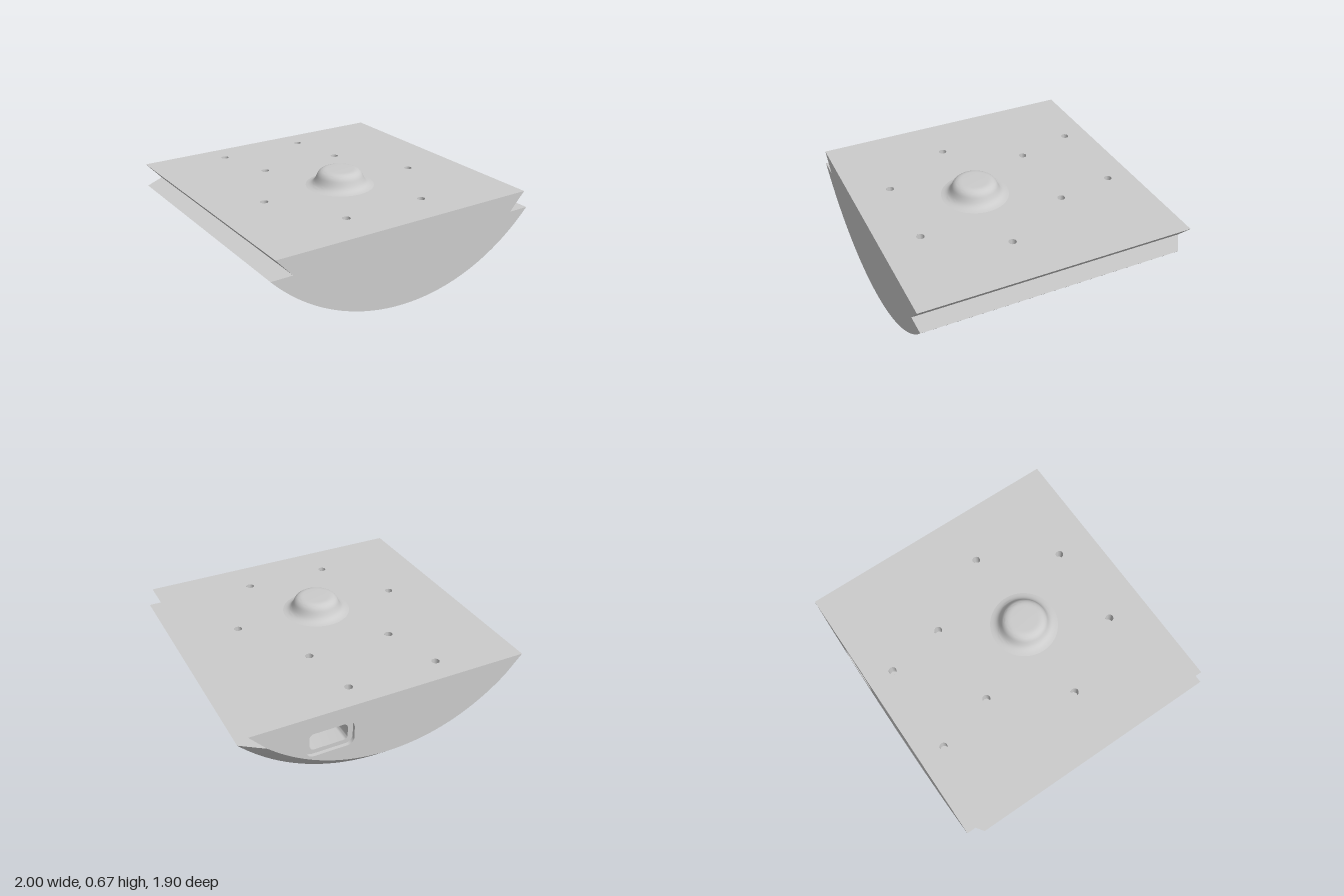
import * as THREE from 'three';
import { toCreasedNormals } from 'three/addons/utils/BufferGeometryUtils.js';

const R = 1.367;            // radius of the curved underside, axis at y = R
const TOP = 0.56, SHELF = 0.435, LEDGE = 0.288, CEILING = 0.53;
const HALF = 0.95, CHAMFER = 0.105, CZ = 0.16;
const PORT = { x: 0.438, y: 0.352 };

const material = new THREE.MeshStandardMaterial({ color: 0xcccccc, side: THREE.DoubleSide });
const v3 = (x, y, z) => new THREE.Vector3(x, y, z);
const v2 = (x, y) => new THREE.Vector2(x, y);
const underside = (x) => R - Math.sqrt(R * R - x * x);
const halfWidth = (r) => Math.sqrt(r * r - (R - SHELF) ** 2);

function add(parent, name, geometry) {
  const mesh = new THREE.Mesh(geometry, material);
  mesh.name = name;
  parent.add(mesh);
  return mesh;
}

// Skin over rows of points, all rows of equal length
function loft(rows) {
  const n = rows[0].length, index = [];
  for (let i = 0; i < rows.length - 1; i++) {
    for (let j = 0; j < n - 1; j++) {
      const a = i * n + j, b = a + n;
      index.push(a, b, a + 1, b, b + 1, a + 1);
    }
  }
  const geometry = new THREE.BufferGeometry().setFromPoints(rows.flat());
  geometry.setIndex(index);
  return toCreasedNormals(geometry, 0.6);
}

const lathe = (points, segments) =>
  toCreasedNormals(new THREE.LatheGeometry(points, segments), 0.6);

function circlePath(x, y, r) {
  return new THREE.Path().absarc(x, y, r, 0, Math.PI * 2, true);
}

// Counter-clockwise rounded rectangle as a closed list of points
function roundedRect(cx, cy, w, h, r) {
  const points = [];
  [[1, -1], [1, 1], [-1, 1], [-1, -1]].forEach(([sx, sy], q) => {
    for (let k = 0; k <= 6; k++) {
      const a = (q - 1 + k / 6) * Math.PI / 2;
      points.push(v2(cx + sx * (w / 2 - r) + r * Math.cos(a), cy + sy * (h / 2 - r) + r * Math.sin(a)));
    }
  });
  points.push(points[0].clone());
  return points;
}

// Points of the lower arc, from right to left end
function arc(r, z) {
  const end = Math.acos((R - SHELF) / r), row = [];
  for (let k = 0; k <= 64; k++) {
    const a = end * (k / 32 - 1);
    row.push(v3(r * Math.sin(a), R - r * Math.cos(a), z));
  }
  return row;
}

// Cross-section with the dovetail notches
function section(r) {
  const points = arc(r, 0).map((p) => v2(p.x, p.y));
  points.push(v2(0.851, SHELF), v2(0.965, TOP), v2(-0.965, TOP), v2(-0.851, SHELF));
  return new THREE.Shape(points);
}

export function createModel() {
  const group = new THREE.Group();
  const zBack = -HALF + CHAMFER;

  // Curved underside running from the round pocket out to the rectangular edge
  const corners = [v2(1, zBack), v2(1, HALF), v2(-1, HALF), v2(-1, zBack)];
  const edge = [];
  corners.forEach((c, i) => {
    for (let k = 0; k < 32; k++) edge.push(c.clone().lerp(corners[(i + 1) % 4], k / 32));
  });
  edge.push(edge[0].clone());
  const rim = edge.map((p) => {
    const a = Math.atan2(p.y - CZ, p.x);
    return v2(0.64 * Math.cos(a), CZ + 0.64 * Math.sin(a));
  });
  const skin = [];
  for (let i = 0; i <= 16; i++) {
    skin.push(rim.map((p, j) => {
      const q = p.clone().lerp(edge[j], i / 16);
      return v3(q.x, underside(q.x), q.y);
    }));
  }
  add(group, 'curvedUnderside', loft(skin));
  add(group, 'backChamfer', loft([arc(R, zBack), arc(R - CHAMFER, -HALF)]));

  // Dovetail notch along each side
  const zs = [0, 0.25, 0.5, 0.75, 1].map((t) => -HALF + CHAMFER * t).concat(HALF);
  const notch = loft([
    zs.map((z) => v3(halfWidth(R - Math.max(0, zBack - z)), SHELF, z)),
    zs.map((z) => v3(0.851, SHELF, z)),
    zs.map((z) => v3(0.965, TOP, z)),
  ]);
  add(group, 'leftNotch', notch);
  add(group, 'rightNotch', notch).scale.x = -1;

  // End faces, the back one pierced for the port
  add(group, 'frontFace', new THREE.ShapeGeometry(section(R))).position.z = HALF;
  const back = section(R - CHAMFER);
  back.holes.push(new THREE.Path(roundedRect(-PORT.x, PORT.y, 0.33, 0.18, 0.05)));
  const backFace = add(group, 'backFace', new THREE.ShapeGeometry(back));
  backFace.rotation.y = Math.PI;
  backFace.position.z = -HALF;

  // Stepped port recess
  const portRow = (w, h, r, z) => roundedRect(PORT.x, PORT.y, w, h, r).map((p) => v3(p.x, p.y, z));
  add(group, 'portRecess', loft([
    portRow(0.33, 0.18, 0.05, -HALF),
    portRow(0.33, 0.18, 0.05, -HALF + 0.025),
    portRow(0.26, 0.12, 0.03, -HALF + 0.025),
    portRow(0.26, 0.12, 0.03, -0.6),
    portRow(0, 0, 0, -0.6),
  ]));

  // Top plate with screw holes: a ring of six and a pair at the back
  const screws = [[-0.41, -0.77], [0.225, -0.77]];
  for (let k = 0; k < 6; k++) {
    const a = k * Math.PI / 3;
    screws.push([0.595 * Math.cos(a), CZ + 0.595 * Math.sin(a)]);
  }
  const plate = new THREE.Shape([v2(-0.965, -HALF), v2(0.965, -HALF), v2(0.965, HALF), v2(-0.965, HALF)]);
  const well = lathe([v2(0.027, 0), v2(0.027, -0.09), v2(0, -0.09)], 24);
  for (const [x, z] of screws) {
    plate.holes.push(circlePath(x, -z, 0.027));
    add(group, 'screwHole', well).position.set(x, TOP, z);
  }
  add(group, 'topPlate', new THREE.ShapeGeometry(plate, 24).rotateX(-Math.PI / 2)).position.y = TOP;

  // Round pocket: outer wall, ledge with five holes, inner bore
  add(group, 'pocketWall', loft([
    rim.map((p) => v3(p.x, LEDGE, p.y)),
    rim.map((p) => v3(p.x, underside(p.x), p.y)),
  ]));
  const ledge = new THREE.Shape().absarc(0, 0, 0.64, 0, Math.PI * 2);
  ledge.holes.push(circlePath(0, 0, 0.55));
  const ledgeWell = lathe([v2(0, 0.06), v2(0.02, 0.06), v2(0.02, 0)], 16);
  for (let k = 0; k < 5; k++) {
    const a = k * Math.PI * 2 / 5, x = 0.597 * Math.cos(a), z = 0.597 * Math.sin(a);
    ledge.holes.push(circlePath(x, z, 0.02));
    add(group, 'ledgeHole', ledgeWell).position.set(x, LEDGE, CZ + z);
  }
  add(group, 'pocketLedge', new THREE.ShapeGeometry(ledge, 64).rotateX(Math.PI / 2)).position.set(0, LEDGE, CZ);
  add(group, 'pocketBore', lathe([v2(0, CEILING), v2(0.55, CEILING), v2(0.55, LEDGE)], 96)).position.z = CZ;

  // Flared dome on the top
  const flare = new THREE.CubicBezierCurve(v2(0.235, TOP), v2(0.185, 0.567), v2(0.175, 0.59), v2(0.162, 0.62));
  const shoulder = new THREE.CubicBezierCurve(v2(0.162, 0.62), v2(0.15, 0.655), v2(0.13, 0.672), v2(0.09, 0.672));
  const profile = [...flare.getPoints(10), ...shoulder.getPoints(10).slice(1), v2(0, 0.672)];
  add(group, 'dome', lathe(profile, 64)).position.z = CZ;

  return group;
}
